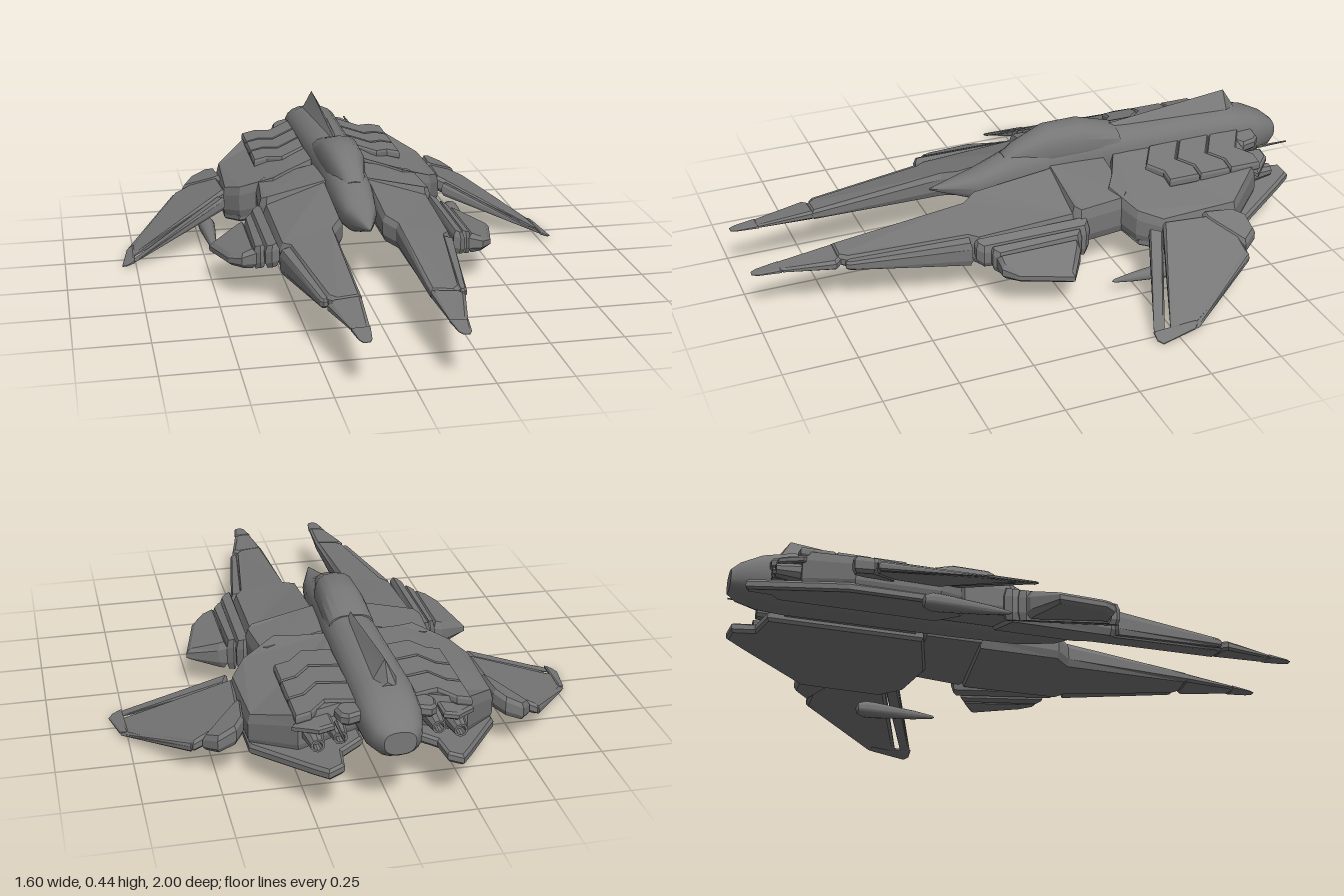
import * as THREE from 'three';
import { toCreasedNormals } from 'three/addons/utils/BufferGeometryUtils.js';

const smooth = new THREE.MeshStandardMaterial({ color: 0x777777 });
const flat = new THREE.MeshStandardMaterial({ color: 0x777777, flatShading: true });

// Chamfered plate: an [x, z] outline whose top and bottom follow height rules
function slab(outline, top, bottom, side, bevel) {
  const shape = new THREE.Shape(outline.map(([x, z]) => new THREE.Vector2(x * side, -z)));
  const geo = new THREE.ExtrudeGeometry(shape, {
    depth: 0.5, bevelThickness: 0.25, bevelSize: bevel, bevelOffset: -bevel, bevelSegments: 1,
  });
  geo.rotateX(-Math.PI / 2);
  const p = geo.attributes.position;
  for (let i = 0; i < p.count; i++) {
    const x = Math.abs(p.getX(i)), z = p.getZ(i);
    p.setY(i, THREE.MathUtils.lerp(bottom(x, z), top(x, z), p.getY(i) + 0.25));
  }
  geo.computeVertexNormals();
  return geo;
}

// Closed skin over sections [z, halfWidth, top, mid, bottom], listed from back to front
function loft(sections, sides, power, crease) {
  const end = ([z, , , mid]) => [z, 0, mid, mid, mid];
  const rows = [end(sections[0]), ...sections, end(sections[sections.length - 1])];
  const round = (v) => Math.sign(v) * Math.pow(Math.abs(v), power);
  const pos = [], index = [];
  rows.forEach(([z, w, top, mid, bottom], i) => {
    for (let j = 0; j < sides; j++) {
      const a = (j / sides) * Math.PI * 2, s = round(Math.sin(a));
      pos.push(w * round(Math.cos(a)), mid + s * (s > 0 ? top - mid : mid - bottom), z);
      if (i === rows.length - 1) continue;
      const k = (j + 1) % sides, a0 = i * sides + j, a1 = i * sides + k;
      index.push(a0, a1, a0 + sides, a1, a1 + sides, a0 + sides);
    }
  });
  const geo = new THREE.BufferGeometry();
  geo.setAttribute('position', new THREE.Float32BufferAttribute(pos, 3));
  geo.setIndex(index);
  return toCreasedNormals(geo, crease);
}

// Surface turned along z from [radius, z] points
function turned(profile, segments) {
  return new THREE.LatheGeometry(profile.map(([r, z]) => new THREE.Vector2(r, z)), segments).rotateX(Math.PI / 2);
}

// Outline between two crosswise edges, with clipped outer corners
const band = (z0, in0, out0, z1, in1, out1, clip = 0.02) => [
  [in0, z0], [out0 - clip, z0], [out0, z0 + clip], [out1, z1 - clip], [out1 - clip, z1], [in1, z1]];

// Outline of a tapered strip along a line, with a blunt point at its far end
function strip(x0, z0, x1, z1, w0, w1) {
  const len = Math.hypot(x1 - x0, z1 - z0), ux = (x1 - x0) / len, uz = (z1 - z0) / len;
  const at = (along, across) => [x0 + ux * along - uz * across, z0 + uz * along + ux * across];
  return [at(0, -w0), at(len - w1, -w1), at(len, -w1 / 2), at(len, w1 / 2), at(len - w1, w1), at(0, w0)];
}

// Height rules of the drooping surfaces
const raise = (rule, d) => (x, z) => rule(x, z) + d;
const hullTop = (x) => (x < 0.28 ? 0.315 - 0.22 * (x - 0.1) : 0.275 - 0.5 * (x - 0.28));
const keel = (x) => 0.18 - 0.29 * (x - 0.08);
const wingTop = (x) => 0.205 - 0.515 * (x - 0.41);
const wingBottom = (x) => 0.145 - 0.37 * (x - 0.41);
const prongTop = (x, z) => 0.3 - 0.115 * (z + 0.09) - 0.3 * (1 - z) * (x - 0.1);
const prongBottom = (x, z) => 0.172 - 0.3 * (x - 0.1) * Math.min(1, (1.05 - z) / 0.75);
const podTop = (x) => 0.235 - 0.47 * (x - 0.29);
const podBottom = (x, z) => 0.112 - 0.3 * (x - 0.29) + 0.14 * Math.max(0, z);
const canardBottom = (x, z) => 0.088 + 0.12 * (x - 0.37) + 0.14 * Math.max(0, z);

function addPart(parent, name, geo, material = flat) {
  const mesh = new THREE.Mesh(geo, material);
  mesh.name = name;
  parent.add(mesh);
  return mesh;
}

function buildSide(side) {
  const half = new THREE.Group();
  half.name = side > 0 ? 'leftSide' : 'rightSide';
  const plate = (name, outline, top, bottom, bevel = 0.008) =>
    addPart(half, name, slab(outline, top, bottom, side, bevel));

  // Wing root, the plate below it and the hoods over the engines
  plate('wingRoot', [[0.06, -0.8], [0.27, -0.8], [0.4, -0.65], [0.41, -0.37], [0.36, -0.29],
    [0.24, -0.23], [0.18, -0.27], [0.06, -0.33]], hullTop, raise(keel, 0.02), 0.008);
  plate('lowerPlate', [[0.08, -0.85], [0.15, -0.88], [0.16, -0.96], [0.21, -0.97], [0.25, -0.91],
    [0.4, -0.67], [0.405, -0.38], [0.36, -0.3], [0.24, -0.25], [0.08, -0.3]], raise(keel, 0.035), keel);
  plate('innerHood', band(-0.88, 0.07, 0.15, -0.79, 0.07, 0.16), hullTop, raise(hullTop, -0.04));
  plate('outerHood', band(-0.87, 0.17, 0.24, -0.78, 0.17, 0.29), raise(hullTop, -0.02), raise(hullTop, -0.045));

  // Three raised panels with zigzag seams
  for (let i = 0; i < 3; i++) {
    const z0 = -0.82 + 0.12 * i, z1 = z0 + 0.116;
    const seam = (z) => [[0.09, z], [0.18, z + 0.055], [0.23, z + 0.01], [0.28, z + 0.01]];
    plate('raisedPanel', [...seam(z0), ...seam(z1).reverse()],
      raise(hullTop, 0.01), raise(hullTop, -0.02), 0.004);
  }

  // Swept outer wing with hinge, slat, flap and tip
  plate('wingHinge', [[0.4, -0.52], [0.41, -0.63], [0.44, -0.67], [0.5, -0.675], [0.54, -0.62], [0.43, -0.525]],
    raise(wingTop, 0.006), raise(wingBottom, -0.006));
  plate('outerWing', [[0.4, -0.37], [0.41, -0.53], [0.5, -0.61], [0.57, -0.615], [0.68, -0.45],
    [0.75, -0.33], [0.765, -0.225], [0.74, -0.235]], wingTop, wingBottom, 0.01);
  plate('wingSlat', strip(0.565, -0.605, 0.768, -0.31, 0.015, 0.012), raise(wingTop, -0.004), raise(wingBottom, 0.002), 0.005);
  plate('wingFlap', strip(0.42, -0.335, 0.77, -0.182, 0.024, 0.018), raise(wingTop, -0.006), raise(wingBottom, 0.003), 0.006);
  plate('wingTip', band(-0.325, 0.75, 0.775, -0.168, 0.755, 0.8, 0.015), raise(wingTop, 0.003), wingBottom, 0.005);

  // Forward prong in three narrowing lengths, with a rail along its outer edge
  plate('prongJoint', band(-0.3, 0.06, 0.3, -0.08, 0.06, 0.315, 0.025), raise(hullTop, -0.008), raise(keel, 0.012), 0.01);
  plate('prong', [[0.07, -0.1], [0.3, -0.1], [0.295, 0.26], [0.27, 0.29], [0.215, 0.69], [0.19, 0.72],
    [0.11, 0.72], [0.105, 0.25], [0.07, 0.2]], prongTop, prongBottom, 0.01);
  plate('prongRail', strip(0.28, 0.28, 0.22, 0.7, 0.02, 0.014), raise(prongTop, -0.008), raise(prongBottom, 0.006), 0.006);
  plate('prongFront', band(0.71, 0.11, 0.22, 0.92, 0.125, 0.182), raise(prongTop, -0.002), raise(prongBottom, 0.002), 0.01);
  plate('prongTip', strip(0.152, 0.905, 0.152, 1, 0.03, 0.02), prongTop, prongBottom, 0.006);

  // Side pod and its canard
  plate('podInner', band(-0.13, 0.3, 0.345, 0.28, 0.3, 0.345), podTop, podBottom, 0.008);
  plate('podOuter', band(-0.09, 0.34, 0.372, 0.235, 0.34, 0.378), podTop, podBottom, 0.006);
  plate('canard', [[0.37, -0.07], [0.4, -0.065], [0.505, 0], [0.46, 0.18], [0.42, 0.225], [0.37, 0.225]],
    (x) => 0.195 - 0.42 * (x - 0.37), canardBottom, 0.012);

  // Engine nozzles between the upper and lower plates
  for (const i of [0, 1]) {
    const nozzle = addPart(half, 'nozzle', turned(
      [[0, -0.05], [0.012, -0.05], [0.015, -0.08], [0.022, -0.08], [0.034, 0], [0.03, 0.07], [0, 0.07]], 10));
    nozzle.position.set((0.155 + 0.07 * i) * side, 0.235 - 0.02 * i, -0.8);
  }

  // Teardrop gun under the wing, pointing forward
  const drop = turned([[0, -0.14], [0.02, -0.132], [0.03, -0.105], [0.029, -0.07], [0.016, 0.08], [0.006, 0.15], [0, 0.16]], 14);
  const gun = addPart(half, 'gun', toCreasedNormals(drop, 0.8), smooth);
  gun.position.set(0.47 * side, 0.056, -0.31);
  return half;
}

export function createModel() {
  const model = new THREE.Group();
  model.name = 'starfighter';

  // Fuselage with rounded tail and pointed nose
  addPart(model, 'fuselage', loft([
    [-1, 0.05, 0.3, 0.265, 0.225], [-0.97, 0.075, 0.325, 0.27, 0.205], [-0.9, 0.095, 0.36, 0.28, 0.187],
    [-0.8, 0.1, 0.385, 0.29, 0.18], [-0.3, 0.086, 0.39, 0.3, 0.18], [-0.2, 0.08, 0.39, 0.29, 0.18],
    [0.03, 0.074, 0.362, 0.27, 0.185], [0.165, 0.056, 0.307, 0.265, 0.205], [0.33, 0.002, 0.272, 0.27, 0.266],
  ], 20, 0.8, 0.8), smooth);
  addPart(model, 'canopy', loft([
    [-0.36, 0.078, 0.392, 0.34, 0.3], [-0.23, 0.076, 0.432, 0.35, 0.29], [-0.1, 0.07, 0.432, 0.35, 0.29],
    [0.016, 0.046, 0.385, 0.33, 0.28], [0.06, 0.036, 0.352, 0.32, 0.28],
  ], 16, 0.75, 0.6), smooth);

  // Sharp spine rising towards the tail and blending into the fuselage
  addPart(model, 'dorsalFin', loft([
    [-0.84, 0.03, 0.385, 0.365, 0.35], [-0.8, 0.045, 0.446, 0.365, 0.35], [-0.32, 0.02, 0.394, 0.375, 0.36],
  ], 4, 1, 0.6), smooth);

  model.add(buildSide(1), buildSide(-1));

  // Single rear antenna
  const antenna = addPart(model, 'antenna', new THREE.CylinderGeometry(0.003, 0.006, 0.12, 6));
  antenna.rotation.x = -Math.PI / 2;
  antenna.position.set(0.165, 0.28, -0.92);
  return model;
}
